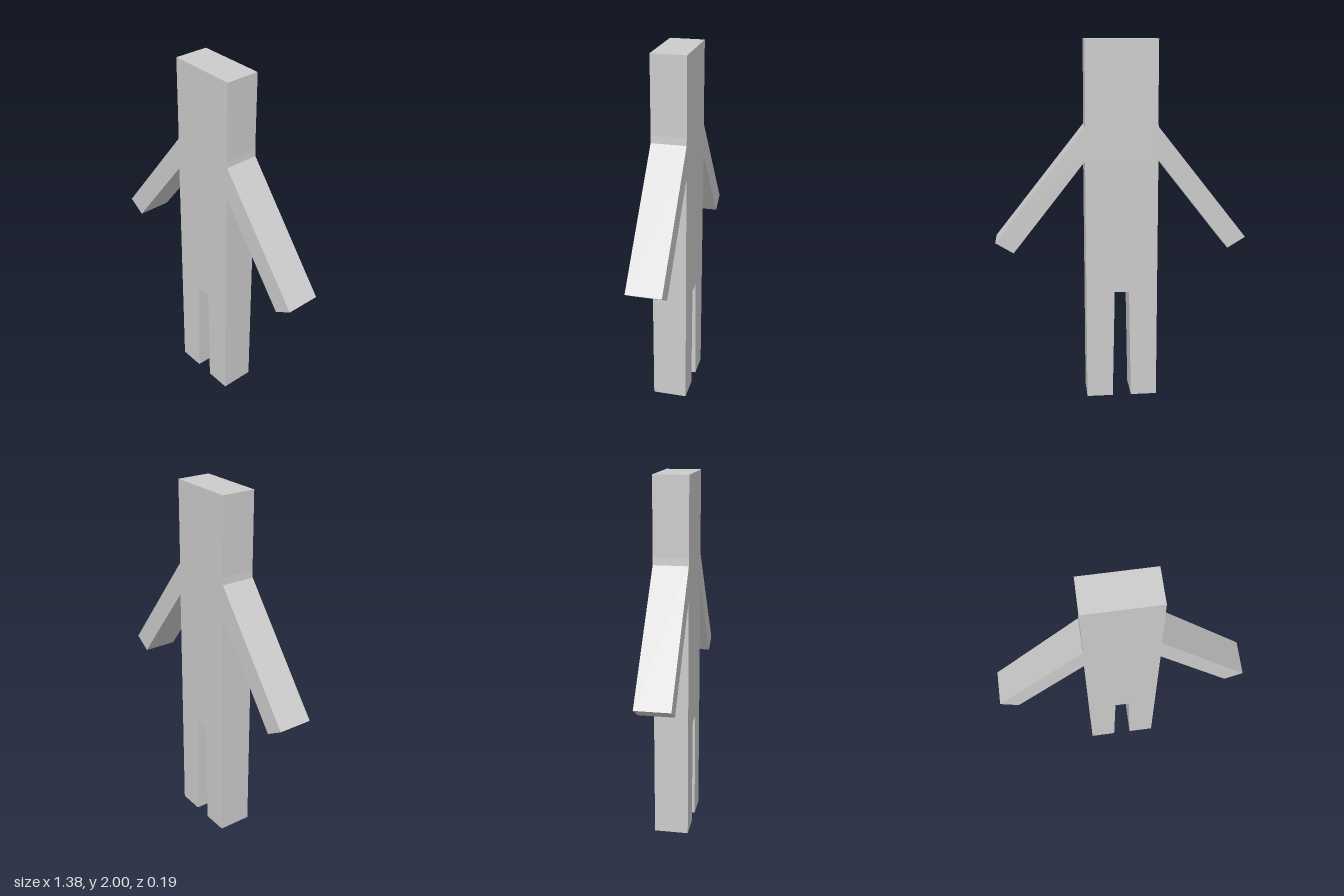
import * as THREE from 'three';

export function createModel() {
  const group = new THREE.Group();
  group.name = 'blockFigure';
  const grey = new THREE.MeshStandardMaterial({ color: 0xcccccc, flatShading: true });
  grey.name = 'plain grey';

  // Half outline, from the crotch round the leg and arm to the head
  const half = [
    [0.04, 0.62], [0.052, 0.0], [0.198, 0.0],   // leg
    [0.198, 1.36], [0.592, 0.86],               // under the arm
    [0.69, 0.92], [0.198, 1.54],                // hand and shoulder
    [0.195, 1.58], [0.195, 2.0],                // head
  ];
  const mirrored = half.map(([x, y]) => [-x, y]).reverse();
  const outline = [...half, ...mirrored].map(([x, y]) => new THREE.Vector2(x, y));

  // The whole figure is one slab of constant depth
  const depth = 0.19;
  const geometry = new THREE.ExtrudeGeometry(new THREE.Shape(outline), { depth, bevelEnabled: false });
  geometry.translate(0, 0, -depth / 2);

  const figure = new THREE.Mesh(geometry, grey);
  figure.name = 'headBodyArmsAndLegs';
  group.add(figure);
  return group;
}
